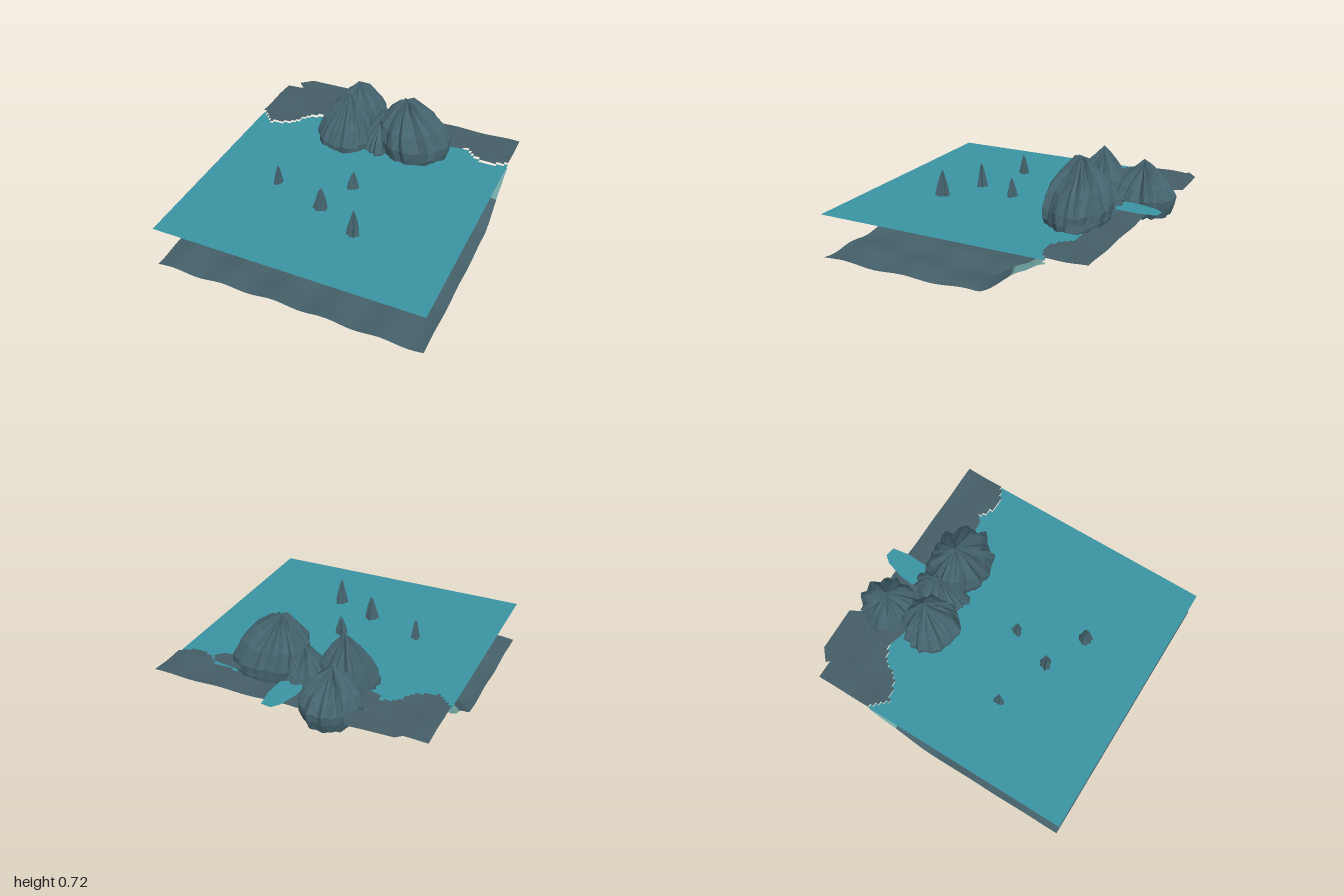
import * as THREE from 'three';

const mat = (name, color, double) => {
  const m = new THREE.MeshStandardMaterial({ color });
  m.name = name;
  if (double) m.side = THREE.DoubleSide;
  return m;
};

const random = (seed) => () => {
  seed = (seed * 16807) % 2147483647;
  return seed / 2147483647;
};

// shoreline: z of the water's edge for each x
const SHORE = [[-0.94, -0.5], [-0.84, -0.39], [-0.72, -0.43], [-0.55, -0.6], [-0.38, -0.67], [-0.2, -0.62],
  [0, -0.6], [0.2, -0.64], [0.45, -0.68], [0.62, -0.66], [0.7, -0.6], [0.8, -0.55], [0.94, -0.61]];

function interpolate(points, v) {
  if (v <= points[0][0]) return points[0][1];
  for (let i = 1; i < points.length; i++) {
    const [a, p] = points[i - 1], [b, q] = points[i];
    if (v <= b) {
      const t = (v - a) / (b - a);
      return p + (q - p) * t * t * (3 - 2 * t) * 0.5 + (q - p) * t * 0.5;
    }
  }
  return points[points.length - 1][1];
}

const shore = (x) => interpolate(SHORE, x);

// seabed rises towards the shore
const RAMP = [[-0.1, 0.28], [0, 0.26], [0.15, 0.18], [0.44, 0]];
const bedHeight = (x, z) => {
  const rise = interpolate(RAMP, z - shore(x));
  const ripple = 0.009 * Math.sin(x * 17 + z * 3) + 0.007 * Math.sin(z * 14 - x * 4);
  return 0.018 + ripple + rise;
};
const landHeight = (x, z) => 0.332 + 0.004 * Math.sin(x * 15 + z * 6) + 0.003 * Math.sin(z * 21 - x * 5);

// height field made only of the grid cells that pass a test
function cellSheet(name, material, height, keep) {
  const nx = 75, nz = 75, pos = [], index = [];
  const X = (i) => -0.94 + (1.88 * i) / nx, Z = (j) => -0.89 + (1.89 * j) / nz;
  const ids = new Map();
  const vertex = (i, j) => {
    const key = j * (nx + 1) + i;
    if (!ids.has(key)) {
      ids.set(key, pos.length / 3);
      pos.push(X(i), height(X(i), Z(j)), Z(j));
    }
    return ids.get(key);
  };
  for (let j = 0; j < nz; j++) {
    for (let i = 0; i < nx; i++) {
      if (!keep(X(i + 0.5), Z(j + 0.5))) continue;
      const a = vertex(i, j), b = vertex(i + 1, j), c = vertex(i, j + 1), d = vertex(i + 1, j + 1);
      index.push(a, c, b, b, c, d);
    }
  }
  const g = new THREE.BufferGeometry();
  g.setAttribute('position', new THREE.Float32BufferAttribute(pos, 3));
  g.setIndex(index);
  g.computeVertexNormals();
  const mesh = new THREE.Mesh(g, material);
  mesh.name = name;
  return mesh;
}

// flat irregular plate, outline given as x, z pairs
function plate(name, material, y, outline) {
  const shape = new THREE.Shape(outline.map(([x, z]) => new THREE.Vector2(x, -z)));
  const g = new THREE.ShapeGeometry(shape);
  g.rotateX(-Math.PI / 2);
  const mesh = new THREE.Mesh(g, material);
  mesh.name = name;
  mesh.position.y = y;
  return mesh;
}

// ridged rock: rings of [radius, height] leaning from the base centre to the peak
function rock(name, material, o) {
  const rnd = random(o.seed), n = o.sides;
  const ridge = Array.from({ length: n }, () => rnd() - 0.5);
  const last = o.profile.length - 1;
  const rings = o.profile.map(([r, f], k) => {
    const lean = Math.max(0, f - 0.3) / 0.7;
    const cx = o.x + (o.peakX - o.x) * lean, cz = o.z + (o.peakZ - o.z) * lean;
    const inner = k > 0 && k < last;
    return ridge.map((e, i) => {
      const a = (i / n) * Math.PI * 2;
      const lobe = 1 + o.lobe * Math.cos(3 * a + o.seed);
      const s = r * lobe * (1 + e * o.jag * (0.35 + 1.3 * f) + (rnd() - 0.5) * 0.05);
      const lift = inner ? (e * 0.12 * f + (rnd() - 0.5) * 0.05) * (o.top - o.bottom) : 0;
      return new THREE.Vector3(cx + Math.cos(a) * o.rx * s,
        o.bottom + f * (o.top - o.bottom) + lift, cz + Math.sin(a) * o.rz * s);
    });
  });
  const pts = [];
  for (let k = 0; k < last; k++) {
    for (let i = 0; i < n; i++) {
      const j = (i + 1) % n;
      const a = rings[k][i], b = rings[k][j], c = rings[k + 1][i], d = rings[k + 1][j];
      if (k > 0) pts.push(a, c, b);
      if (k < last - 1) pts.push(b, c, d);
      if (k === 0) pts.push(b, c, d);
    }
  }
  const g = new THREE.BufferGeometry().setFromPoints(pts);
  g.computeVertexNormals();
  const mesh = new THREE.Mesh(g, material);
  mesh.name = name;
  return mesh;
}

export function createModel() {
  const group = new THREE.Group();
  const bedMat = mat('seabed grey', 0x456069, true);
  const shallowMat = mat('shallow teal', 0x6fa3a0, true);
  const waterMat = mat('water teal', 0x3b94a3, true);
  const landMat = mat('land grey', 0x455e67, true);
  const rockMat = mat('rock slate', 0x456570);

  // ground and water
  const wet = (x, z) => z > shore(x);
  const shallow = (x, z) => bedHeight(x, z) > 0.175;
  group.add(
    cellSheet('seabed', bedMat, bedHeight, (x, z) => wet(x, z) && !shallow(x, z)),
    cellSheet('shallows', shallowMat, bedHeight, (x, z) => wet(x, z) && shallow(x, z)),
    cellSheet('water', waterMat, () => 0.315, wet),
    cellSheet('land', landMat, landHeight, (x, z) => !wet(x, z)),
  );

  // raised slabs and the pool at the back
  group.add(
    plate('backSlab', landMat, 0.37, [[-0.84, -0.9], [-0.76, -0.97], [-0.6, -0.975], [-0.45, -0.98], [-0.41, -0.91],
      [-0.43, -0.81], [-0.6, -0.79], [-0.81, -0.81], [-0.79, -0.85]]),
    plate('leftSlab', landMat, 0.372, [[-0.53, -0.68], [-0.42, -0.75], [-0.2, -0.74], [-0.2, -0.56], [-0.4, -0.57], [-0.53, -0.61]]),
    plate('rightSlab', landMat, 0.375, [[0.1, -0.7], [0.3, -0.74], [0.46, -0.71], [0.61, -0.69], [0.65, -0.63],
      [0.6, -0.58], [0.4, -0.56], [0.1, -0.58]]),
    plate('pool', waterMat, 0.37, [[-0.06, -0.72], [-0.05, -0.82], [-0.01, -0.95], [0.03, -1], [0.1, -0.99], [0.12, -0.86],
      [0.11, -0.72], [0.02, -0.68]]),
  );

  // large ridged rocks
  const crag = [[0, 0], [0.86, 0.02], [0.97, 0.2], [1, 0.34], [0.8, 0.55], [0.5, 0.73], [0.22, 0.86], [0, 1]];
  const bluff = [[0, 0], [0.86, 0.02], [0.98, 0.25], [1, 0.38], [0.84, 0.6], [0.56, 0.76], [0.22, 0.92], [0, 1]];
  [
    { x: -0.265, z: -0.77, rx: 0.195, rz: 0.205, peakX: -0.27, peakZ: -0.76, bottom: 0.24, top: 0.61, profile: crag, seed: 11 },
    { x: -0.235, z: -0.445, rx: 0.195, rz: 0.2, peakX: -0.225, peakZ: -0.49, bottom: 0.2, top: 0.68, profile: crag, seed: 29 },
    { x: 0.02, z: -0.53, rx: 0.14, rz: 0.2, peakX: 0.02, peakZ: -0.55, bottom: 0.2, top: 0.56, profile: crag, seed: 47 },
    { x: 0.275, z: -0.525, rx: 0.25, rz: 0.215, peakX: 0.2, peakZ: -0.51, bottom: 0.23, top: 0.725, profile: bluff, seed: 83 },
  ].forEach((o, i) => group.add(rock('largeRock' + (i + 1), rockMat, { sides: 40, jag: 0.22, lobe: 0.03, ...o })));

  // narrow pinnacles in the water
  const pinnacle = [[0, 0], [0.8, 0.02], [0.95, 0.2], [0.95, 0.34], [0.75, 0.53], [0.5, 0.72], [0.22, 0.88], [0, 1]];
  [
    [-0.435, 0.23, 0.042, 0.05, 0.455], [0.055, 0.07, 0.056, 0.05, 0.45],
    [-0.045, 0.36, 0.066, 0.052, 0.485], [0.245, 0.5, 0.06, 0.06, 0.5],
  ].forEach(([x, z, rx, rz, top], i) => group.add(rock('pinnacle' + (i + 1), rockMat, {
    x, z, rx, rz, peakX: x + 0.003, peakZ: z, bottom: 0.1, top, profile: pinnacle,
    sides: 26, jag: 0.3, lobe: 0.14, seed: 101 + i * 37,
  })));

  return group;
}
